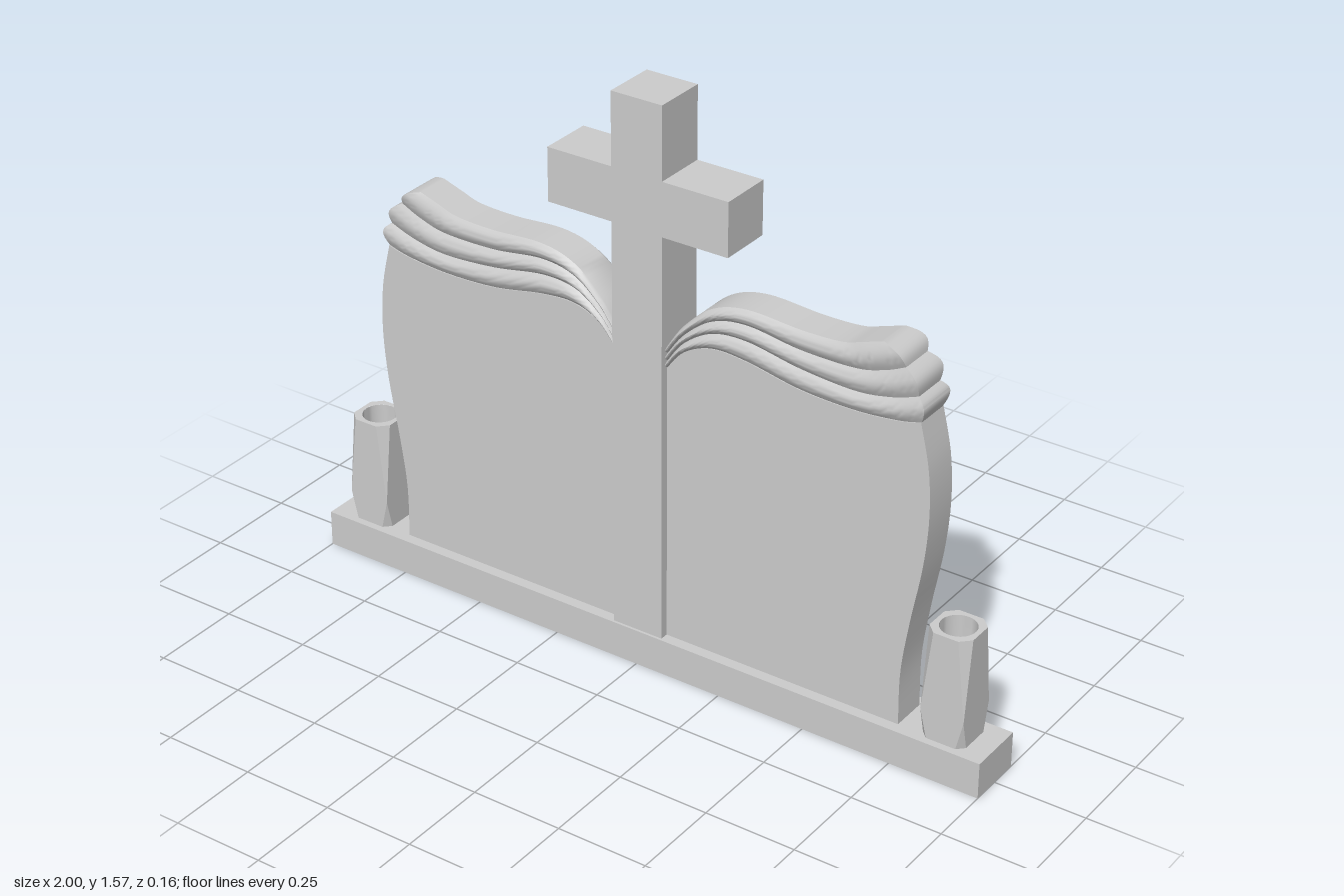
import * as THREE from 'three';
import { toCreasedNormals } from 'three/addons/utils/BufferGeometryUtils.js';

const grey = new THREE.MeshStandardMaterial({ color: 0xcccccc });

function add(parent, name, geometry, x = 0, y = 0, z = 0) {
  const mesh = new THREE.Mesh(geometry, grey);
  mesh.name = name;
  mesh.position.set(x, y, z);
  parent.add(mesh);
  return mesh;
}

const spline = (pts) => new THREE.SplineCurve(pts.map(([x, y]) => new THREE.Vector2(x, y)));

// Edges between the curled page layers, lowest first, from the spine outward
const pageEdges = [
  [[.07, .865], [.12, .925], [.2, .96], [.3, .957], [.45, .93], [.6, .924], [.72, .935], [.782, .95]],
  [[.07, .885], [.12, .95], [.2, 1.0], [.3, 1.01], [.45, .985], [.6, .975], [.7, .99], [.772, 1.015]],
  [[.07, .905], [.12, .972], [.2, 1.033], [.3, 1.053], [.45, 1.035], [.6, 1.035], [.68, 1.055], [.735, 1.08]],
  [[.07, .925], [.12, .997], [.2, 1.067], [.3, 1.095], [.45, 1.088], [.56, 1.092], [.62, 1.11], [.675, 1.128]],
].map(spline);

// Flat slab below the pages, with a wavy outer side
function slabGeometry() {
  const side = spline([[.755, .1], [.755, .25], [.775, .4], [.803, .56], [.815, .7], [.808, .83], [.782, .95]]);
  const outline = [
    new THREE.Vector2(.07, .1),
    ...side.getPoints(32),
    ...pageEdges[0].getPoints(48).reverse().slice(1),
  ];
  const geo = new THREE.ExtrudeGeometry(new THREE.Shape(outline), { depth: .1, bevelEnabled: false });
  geo.translate(0, 0, -.05);
  return toCreasedNormals(geo, .5);
}

// Rounded page layers: cross-sections with three bulges, swept outward from the spine
function pagesGeometry() {
  const U = 56, STEPS = 8, V = 3 * STEPS, ring = 2 * (V + 1);
  const pos = [], index = [];
  for (let i = 0; i <= U; i++) {
    const u = i / U;
    const points = pageEdges.map((c) => c.getPoint(u));
    const endBulge = THREE.MathUtils.smoothstep(u, .9, 1);
    const front = [];
    for (let j = 0; j <= V; j++) {
      const band = Math.min(2, Math.floor(j / STEPS));
      const t = j / STEPS - band;
      const bulge = Math.sin(Math.PI * t);
      const p = points[band].clone().lerp(points[band + 1], t);
      front.push([p.x + .016 * bulge * endBulge, p.y + .008 * bulge * endBulge, .047 + .012 * bulge]);
    }
    front.forEach((p) => pos.push(...p));
    front.reverse().forEach(([x, y, z]) => pos.push(x, y, -z));
  }
  const quad = (a, b, c, d) => index.push(a, b, c, a, c, d);
  for (let i = 0; i < U; i++) {
    for (let j = 0; j < ring; j++) {
      const k = (j + 1) % ring;
      quad(i * ring + j, (i + 1) * ring + j, (i + 1) * ring + k, i * ring + k);
    }
  }
  // Outer end face
  const e = U * ring;
  for (let j = 0; j < V; j++) quad(e + j, e + ring - 1 - j, e + ring - 2 - j, e + j + 1);
  const geo = new THREE.BufferGeometry();
  geo.setAttribute('position', new THREE.Float32BufferAttribute(pos, 3));
  geo.setIndex(index);
  return toCreasedNormals(geo, .6);
}

// Square section of half width h whose corners are cut back to half face f
const cutSquare = (h, f) => [[h, -f], [h, f], [f, h], [-f, h], [-h, f], [-h, -f], [-f, -h], [f, -h]];

// Vase body: corners cut toward the top and the foot
function vaseBodyGeometry() {
  const pos = [], index = [];
  [[.1, .041], [.18, .0599], [.405, .034]].forEach(([y, f]) =>
    cutSquare(.06, f).forEach(([x, z]) => pos.push(x, y, z)));
  for (let r = 0; r < 2; r++) {
    for (let j = 0; j < 8; j++) {
      const a = r * 8 + j, b = r * 8 + (j + 1) % 8;
      index.push(a, a + 8, b + 8, a, b + 8, b);
    }
  }
  const geo = new THREE.BufferGeometry();
  geo.setAttribute('position', new THREE.Float32BufferAttribute(pos, 3));
  geo.setIndex(index);
  const flat = geo.toNonIndexed();
  flat.computeVertexNormals();
  return flat;
}

// Vase rim with a round opening
function vaseRimGeometry() {
  const shape = new THREE.Shape(cutSquare(.06, .034).map(([x, y]) => new THREE.Vector2(x, y)));
  shape.holes.push(new THREE.Path().absarc(0, 0, .047, 0, Math.PI * 2, true));
  return new THREE.ShapeGeometry(shape, 24).rotateX(-Math.PI / 2);
}

// Hollow inside the vase, open at the top
function vaseHollowGeometry() {
  const profile = [[.047, .405], [.047, .28], [0, .28]].map(([x, y]) => new THREE.Vector2(x, y));
  return toCreasedNormals(new THREE.LatheGeometry(profile, 32), .6);
}

export function createModel() {
  const model = new THREE.Group();
  model.name = 'headstone';

  add(model, 'base', new THREE.BoxGeometry(2, .1, .16), 0, .05, 0);

  // Cross as one outline
  const half = [[.073, .1], [.073, 1.23], [.26, 1.23], [.26, 1.375], [.073, 1.375], [.073, 1.57]];
  const outline = [...half, ...half.map(([x, y]) => [-x, y]).reverse()];
  const crossShape = new THREE.Shape(outline.map(([x, y]) => new THREE.Vector2(x, y)));
  const crossGeo = new THREE.ExtrudeGeometry(crossShape, { depth: .146, bevelEnabled: false });
  add(model, 'cross', crossGeo.translate(0, 0, -.073));

  // Both halves are the same, turned about the vertical axis
  const slab = slabGeometry(), pages = pagesGeometry();
  const body = vaseBodyGeometry(), rim = vaseRimGeometry(), hollow = vaseHollowGeometry();
  for (const side of ['left', 'right']) {
    const group = new THREE.Group();
    group.name = side + 'Half';
    group.rotation.y = side === 'left' ? 0 : Math.PI;
    add(group, 'bookSlab', slab);
    add(group, 'pages', pages);

    const vase = new THREE.Group();
    vase.name = 'vase';
    vase.position.x = .88;
    add(vase, 'vaseBody', body);
    add(vase, 'vaseRim', rim, 0, .405, 0);
    add(vase, 'vaseHollow', hollow);
    group.add(vase);
    model.add(group);
  }
  return model;
}
